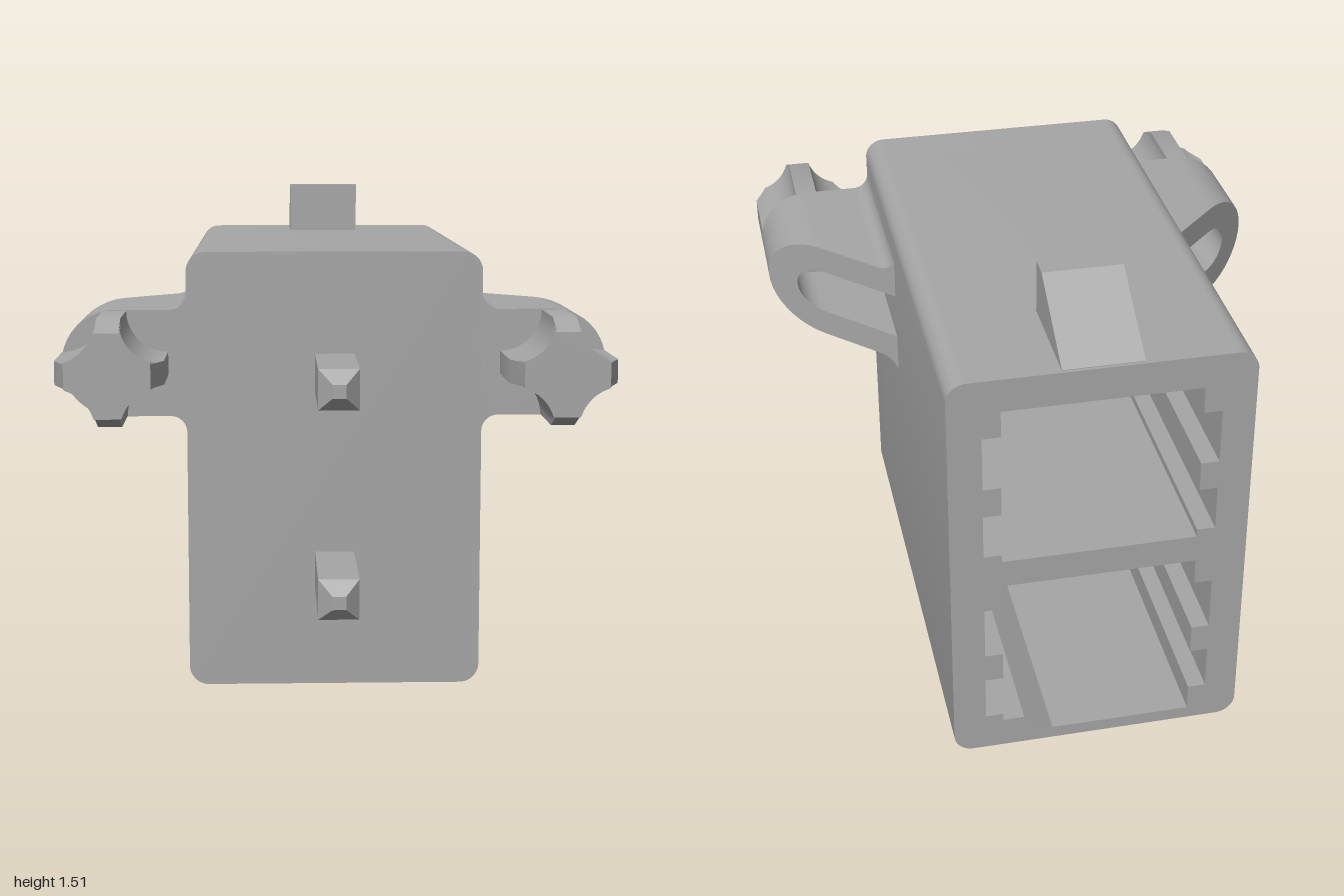
import * as THREE from 'three';
import { toCreasedNormals } from 'three/addons/utils/BufferGeometryUtils.js';

const grey = new THREE.MeshStandardMaterial({ color: 0xa6a6a6 });
grey.name = 'plastic grey';

const BACK = -1, FRONT = 0.59, FLOOR = 0.45; // FLOOR: inner end of the hollows
const EAR_X = 0.665, EAR_Y = 1.008;

function part(name, geometry) {
  const mesh = new THREE.Mesh(toCreasedNormals(geometry, 0.5), grey);
  mesh.name = name;
  return mesh;
}

function extrude(shape, z0, z1, steps = 1) {
  const g = new THREE.ExtrudeGeometry(shape, { depth: z1 - z0, steps, bevelEnabled: false, curveSegments: 10 });
  return g.translate(0, 0, z0);
}

function moveVertices(geometry, rule) {
  const p = geometry.attributes.position, v = new THREE.Vector3();
  for (let i = 0; i < p.count; i++) {
    rule(v.fromBufferAttribute(p, i));
    p.setXYZ(i, v.x, v.y, v.z);
  }
  return geometry;
}

// Rounded outline of the housing
function bodyShape() {
  const w = 0.45, h = 1.345, r = 0.06, s = new THREE.Shape();
  s.moveTo(-w + r, 0);
  s.absarc(w - r, r, r, -Math.PI / 2, 0);
  s.absarc(w - r, h - r, r, 0, Math.PI / 2);
  s.absarc(-w + r, h - r, r, Math.PI / 2, Math.PI);
  s.absarc(-w + r, r, r, Math.PI, Math.PI * 1.5);
  return s;
}

// Socket opening with two guide slots on each side; the lower one has a keyed floor
function socketPath(dy, keyed) {
  const a = 0.295, b = 0.35;
  const side = [[a, 1.24], [a, 1.155], [b, 1.155], [b, 0.98], [a, 0.98], [a, 0.885],
    [b, 0.885], [b, 0.74], [a, 0.74], [a, 0.715]].map(([x, y]) => [x, y + dy]);
  const mirrored = side.map(([x, y]) => [-x, y]).reverse();
  const key = keyed ? [[0.23, 0.1], [0.14, 0.04], [-a, 0.04]] : [];
  if (keyed) mirrored.shift();
  return new THREE.Path([...side, ...key, ...mirrored].map(([x, y]) => new THREE.Vector2(x, y)));
}

// Ear outline around y = 0, flared into the housing, optionally with an open slot
function earShape(slotted) {
  const x0 = 0.44, wall = 0.45, r = 0.1625, f = 0.05, q = 0.075, s = new THREE.Shape();
  s.moveTo(x0, -r - f);
  s.lineTo(wall, -r - f);
  s.absarc(wall + f, -r - f, f, Math.PI, Math.PI / 2, true);
  s.absarc(EAR_X, 0, r, -Math.PI / 2, Math.PI / 2);
  s.absarc(wall + f, r + f, f, -Math.PI / 2, -Math.PI, true);
  s.lineTo(x0, r + f);
  if (slotted) {
    s.lineTo(x0, q);
    s.absarc(EAR_X, 0, q, Math.PI / 2, -Math.PI / 2, true);
    s.lineTo(x0, -q);
  }
  return s;
}

// Four-armed peg section with round scoops between the arms
function pegShape() {
  const c = 0.16, r = 0.125, s = new THREE.Shape();
  for (let i = 0; i < 4; i++) {
    const t = Math.PI / 4 + i * Math.PI / 2, d = c * Math.SQRT2;
    s.absarc(d * Math.cos(t), d * Math.sin(t), r, t - Math.PI * 0.75, t - Math.PI * 1.25, true);
  }
  return s;
}

function makeEar(name) {
  const ear = new THREE.Group();
  ear.name = name;
  // rear face is sheared to a 45 degree slope
  const rear = moveVertices(extrude(earShape(true), 0, FLOOR), v => {
    if (v.z < 0.01) v.z = v.x - 0.485;
  });
  ear.add(part('earSlopedRear', rear), part('earFront', extrude(earShape(false), FLOOR, FRONT)));
  // peg with chamfered arm tips
  const clamp = n => THREE.MathUtils.clamp(n, -0.125, 0.125);
  const peg = moveVertices(extrude(pegShape(), FRONT, 0.9, 2), v => {
    if (v.z > 0.85) { v.x = clamp(v.x); v.y = clamp(v.y); }
    else if (v.z > 0.7) v.z = 0.815;
  });
  const pegMesh = part('mountingPeg', peg);
  pegMesh.position.x = EAR_X;
  ear.add(pegMesh);
  ear.position.y = EAR_Y;
  return ear;
}

// Square contact pin with tapered ends
function makePin(name, y) {
  const layers = [-0.45, -0.405, 0.955, 1];
  const g = moveVertices(new THREE.BoxGeometry(0.12, 0.12, 3, 1, 1, 3), v => {
    const i = Math.round(v.z + 1.5);
    if (i === 0 || i === 3) { v.x *= 0.33; v.y *= 0.33; }
    v.z = layers[i];
  });
  const pin = part(name, g);
  pin.position.y = y;
  return pin;
}

export function createModel() {
  const model = new THREE.Group();
  model.name = 'pinHeader';

  // Hollow housing and its solid front wall
  const shell = bodyShape();
  shell.holes.push(socketPath(0, false), socketPath(-0.615, true));
  model.add(part('housing', extrude(shell, BACK, FLOOR)));
  model.add(part('frontWall', extrude(bodyShape(), FLOOR, FRONT)));

  // Latch wedge, drawn in the side plane
  const wedge = new THREE.Shape([[0.655, 1.335], [0.99, 1.335], [0.99, 1.347], [0.725, 1.51], [0.655, 1.51]]
    .map(([x, y]) => new THREE.Vector2(x, y)));
  model.add(part('latchWedge', extrude(wedge, -0.12, 0.12).rotateY(Math.PI / 2)));

  model.add(makePin('lowerPin', 0.36), makePin('upperPin', 0.975));

  // Ears are symmetric top to bottom, so a half turn gives the other side
  const rightEar = makeEar('rightEar');
  rightEar.rotation.z = Math.PI;
  model.add(makeEar('leftEar'), rightEar);
  return model;
}
